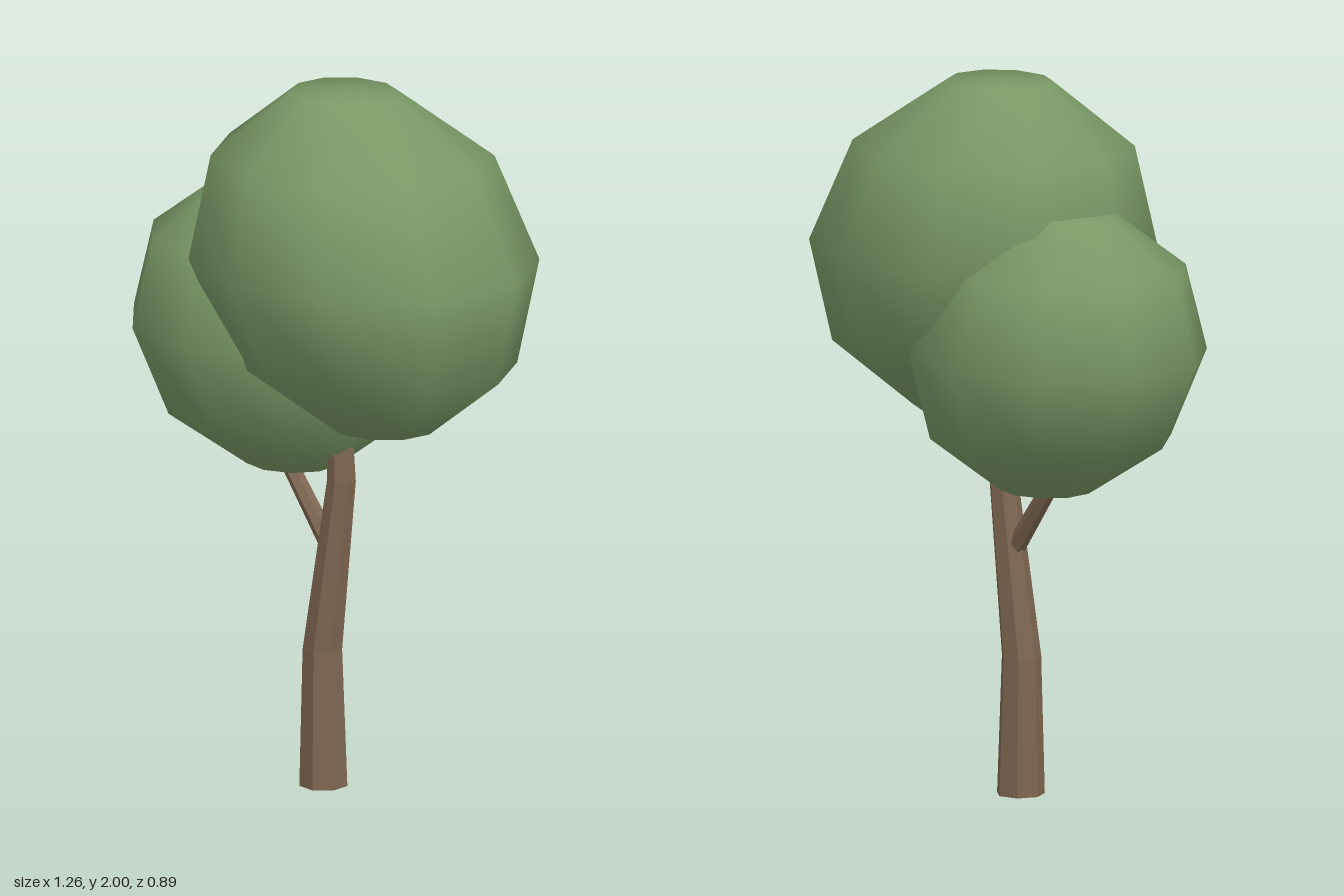
import * as THREE from 'three';
import { mergeVertices } from 'three/addons/utils/BufferGeometryUtils.js';

const leafGreen = new THREE.MeshStandardMaterial({ color: 0x7a9966 });
leafGreen.name = 'leafGreen';
const barkBrown = new THREE.MeshStandardMaterial({ color: 0x7f6752 });
barkBrown.name = 'barkBrown';

const mesh = (name, geometry, material) => {
  const m = new THREE.Mesh(geometry, material);
  m.name = name;
  return m;
};

// Faceted look: every face gets its own normal
const faceted = (geometry) => {
  const g = geometry.toNonIndexed();
  g.computeVertexNormals();
  return g;
};

// Ten-sided smooth leaf ball with flat ends, leaning a little to one side
function leafBall(center, radii, lean, turn) {
  const profile = [new THREE.Vector2(0, -0.951)];
  for (const lat of [-72, -36, 0, 36, 72]) {
    const a = THREE.MathUtils.degToRad(lat);
    profile.push(new THREE.Vector2(Math.cos(a), Math.sin(a)));
  }
  profile.push(new THREE.Vector2(0, 0.951));
  let g = new THREE.LatheGeometry(profile, 10, THREE.MathUtils.degToRad(turn));
  g.deleteAttribute('uv');
  g.deleteAttribute('normal');
  g = mergeVertices(g, 1e-4);
  g.scale(...radii);
  const p = g.attributes.position;
  for (let i = 0; i < p.count; i++) p.setX(i, p.getX(i) + lean * p.getY(i));
  g.translate(...center);
  g.computeVertexNormals();
  return g;
}

// Seven-sided bent trunk: each ring is [x, y, z, radius]
function trunkGeometry() {
  const rings = [
    [-0.016, 0, 0.003, 0.068],
    [-0.022, 0.39, 0, 0.056],
    [0.039, 0.88, -0.008, 0.041],
    [0.02, 1.25, -0.012, 0.03],
  ];
  const rows = rings.length - 1;
  const g = new THREE.CylinderGeometry(1, 1, 1, 7, rows, false, -Math.PI / 2);
  const p = g.attributes.position;
  for (let i = 0; i < p.count; i++) {
    const [x, y, z, r] = rings[Math.round((p.getY(i) + 0.5) * rows)];
    p.setXYZ(i, x + p.getX(i) * r, y, z + p.getZ(i) * r);
  }
  return faceted(g);
}

// Tapered branch between two points
function branchGeometry(from, to, r0, r1) {
  const a = new THREE.Vector3(...from);
  const b = new THREE.Vector3(...to);
  const dir = b.clone().sub(a);
  const g = new THREE.CylinderGeometry(r1, r0, dir.length(), 6);
  g.applyQuaternion(new THREE.Quaternion().setFromUnitVectors(
    new THREE.Vector3(0, 1, 0), dir.normalize()));
  g.translate(...a.add(b).multiplyScalar(0.5).toArray());
  return faceted(g);
}

export function createModel() {
  const tree = new THREE.Group();
  tree.name = 'tree';
  tree.add(
    mesh('trunk', trunkGeometry(), barkBrown),
    mesh('branch', branchGeometry([0.015, 0.67, -0.002], [-0.25, 1.01, -0.03], 0.028, 0.021), barkBrown),
    mesh('largeFoliage', leafBall([0.126, 1.532, 0], [0.505, 0.492, 0.457], -0.14, 96), leafGreen),
    mesh('smallFoliage', leafBall([-0.215, 1.285, -0.047], [0.438, 0.415, 0.4], -0.117, 0), leafGreen),
  );
  return tree;
}
